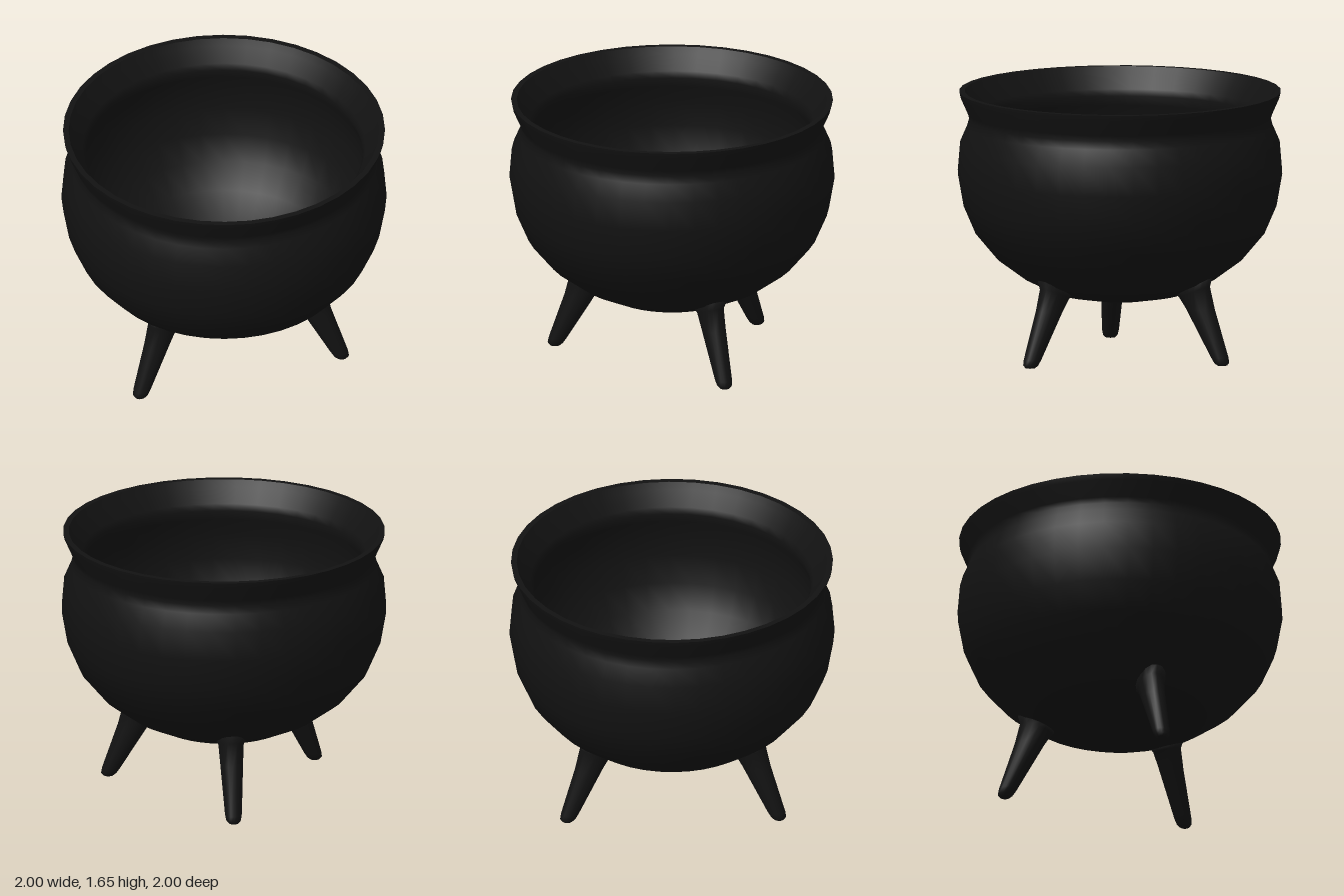
import * as THREE from 'three';
import { mergeVertices } from 'three/addons/utils/BufferGeometryUtils.js';

const SEGMENTS = 40;
const iron = new THREE.MeshStandardMaterial({ color: 0x121212 });

// Surface of revolution from [radius, height] pairs
function turned(name, profile) {
  const points = profile.map(([r, y]) => new THREE.Vector2(r, y));
  const mesh = new THREE.Mesh(new THREE.LatheGeometry(points, SEGMENTS), iron);
  mesh.name = name;
  return mesh;
}

// Splayed, tapering leg; each ring is
// [height, distance from axis, radial half-width, sideways half-width, tilt]
function legGeometry() {
  const rings = [
    [0.49, 0.53, 0.125, 0.1, 0.07],
    [0.44, 0.534, 0.1, 0.078, 0.04],
    [0.34, 0.575, 0.095, 0.071, 0],
    [0.05, 0.713, 0.056, 0.052, 0],
    [0.016, 0.728, 0.048, 0.045, 0],
    [0, 0.731, 0.032, 0.03, 0],
  ];
  const last = rings.length - 1;
  let geometry = new THREE.CylinderGeometry(1, 1, 1, 16, last);
  const p = geometry.attributes.position;
  for (let i = 0; i < p.count; i++) {
    const [y, out, radial, side, tilt] = rings[Math.round((0.5 - p.getY(i)) * last)];
    const x = p.getX(i), z = p.getZ(i);
    p.setXYZ(i, x * side, y + z * tilt, out + z * radial);
  }
  // Weld seams so the leg and its rounded tip shade smoothly
  geometry.deleteAttribute('uv');
  geometry.deleteAttribute('normal');
  geometry = mergeVertices(geometry);
  geometry.computeVertexNormals();
  return geometry;
}

export function createModel() {
  const model = new THREE.Group();
  model.name = 'cauldron';

  // Round belly, pinched neck and flared lip
  model.add(turned('potOutside', [
    [0, 0.36], [0.19, 0.36], [0.4, 0.4], [0.59, 0.49], [0.76, 0.615],
    [0.89, 0.77], [0.965, 0.945], [1, 1.145], [0.985, 1.325],
    [0.94, 1.43], [0.927, 1.48], [0.938, 1.515], [0.982, 1.615], [0.99, 1.65],
  ]));

  // Flat top edge of the lip
  model.add(turned('rim', [[0.99, 1.65], [0.955, 1.65]]));

  // Hollow inside, following the outer wall
  model.add(turned('potInside', [
    [0.955, 1.65], [0.93, 1.61], [0.87, 1.52], [0.853, 1.48], [0.868, 1.42],
    [0.91, 1.31], [0.925, 1.145], [0.893, 0.965], [0.825, 0.81],
    [0.71, 0.67], [0.555, 0.555], [0.38, 0.47], [0.18, 0.43], [0, 0.43],
  ]));

  // Three legs
  const geometry = legGeometry();
  const legs = { leftLeg: 63.2, rightLeg: -63.2, backLeg: 171.2 };
  for (const [name, degrees] of Object.entries(legs)) {
    const leg = new THREE.Mesh(geometry, iron);
    leg.name = name;
    leg.rotation.y = THREE.MathUtils.degToRad(degrees);
    model.add(leg);
  }
  return model;
}
